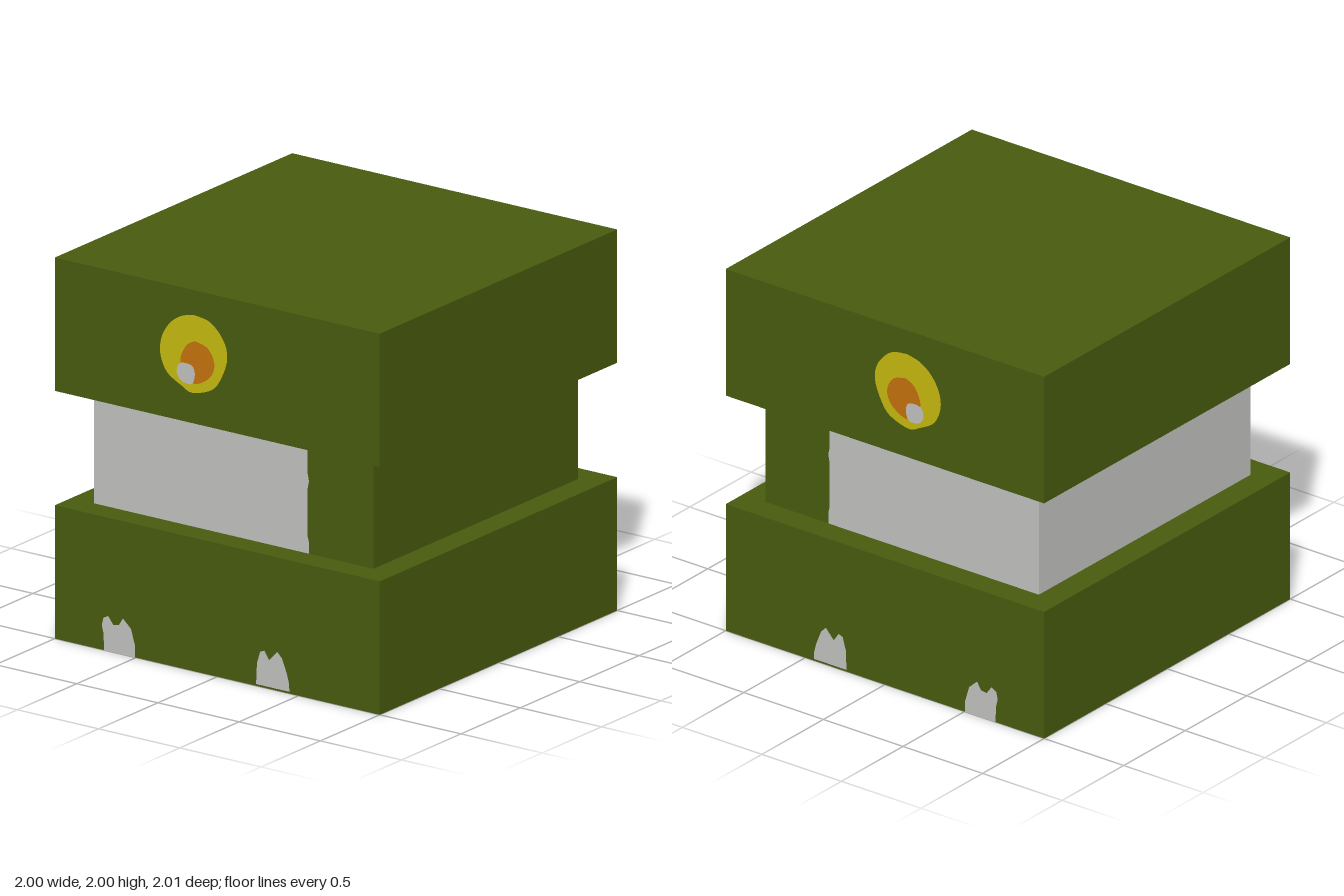
import * as THREE from 'three';

const material = (name, color, side = THREE.FrontSide) => {
  const m = new THREE.MeshStandardMaterial({ color, side });
  m.name = name;
  return m;
};

// Outlines on the x-y plane
const IRIS = [[-.14, 1.87], [-.04, 1.85], [.04, 1.77], [.062, 1.68], [.03, 1.58], [-.03, 1.5], [-.15, 1.46],
  [-.22, 1.485], [-.31, 1.54], [-.35, 1.63], [-.34, 1.72], [-.29, 1.8], [-.22, 1.85]];
const PUPIL = [[-.135, 1.735], [-.055, 1.71], [-.016, 1.635], [-.045, 1.56], [-.135, 1.51], [-.2, 1.55],
  [-.225, 1.62], [-.19, 1.7]];
const GLINT = [[-.19, 1.61], [-.15, 1.6], [-.135, 1.56], [-.15, 1.51], [-.19, 1.503], [-.23, 1.52],
  [-.247, 1.56], [-.23, 1.6]];
const RIGHT_TOOTH = [[-.695, 0], [-.7, .09], [-.71, .13], [-.7, .17], [-.67, .185], [-.64, .145], [-.605, .15],
  [-.58, .19], [-.53, .145], [-.505, .06], [-.505, 0]];
const LEFT_TOOTH = [[.24, .01], [.245, .12], [.265, .185], [.29, .195], [.32, .15], [.37, .205], [.4, .175],
  [.43, .1], [.443, .05], [.445, .01]];
const MOUTH_PANEL = [[-.86, .7], [.463, .7], [.463, .76], [.455, .79], [.455, 1.04], [.463, 1.08],
  [.455, 1.12], [.455, 1.3], [-.86, 1.3]];

export function createModel() {
  const green = material('mossGreen', 0x495d0e);
  const grey = material('paleGrey', 0xc5c5c3);
  const yellow = material('eyeYellow', 0xcabd10);
  const orange = material('pupilOrange', 0xc9740e);

  const model = new THREE.Group();
  model.name = 'blockCreature';

  const block = (name, width, y0, y1, mat) => {
    const mesh = new THREE.Mesh(new THREE.BoxGeometry(width, y1 - y0, width), mat);
    mesh.position.y = (y0 + y1) / 2;
    mesh.name = name;
    model.add(mesh);
  };

  // Three stacked blocks; the middle one is grey on its -x side
  block('lowerBlock', 2, 0, 0.7, green);
  block('middleBlock', 1.72, 0.7, 1.3, [green, grey, green, green, green, green]);
  block('upperBlock', 2, 1.3, 2, green);

  // Flat painted face, repeated at the same x on the front and back
  for (const [label, sign] of [['front', 1], ['back', -1]]) {
    const face = new THREE.Group();
    face.name = label + 'Face';
    if (sign < 0) face.rotation.y = Math.PI;

    const paint = (name, outline, z, mat, smooth) => {
      const points = outline.map(([x, y]) => new THREE.Vector2(x * sign, y));
      const shape = new THREE.Shape();
      if (smooth) {
        shape.moveTo(points[0].x, points[0].y);
        shape.splineThru([...points.slice(1), points[0]]);
      } else {
        shape.setFromPoints(points);
      }
      const mesh = new THREE.Mesh(new THREE.ShapeGeometry(shape, 40), mat);
      mesh.position.z = z;
      mesh.name = name;
      face.add(mesh);
    };

    paint('eye', IRIS, 1.0015, yellow, true);
    paint('pupil', PUPIL, 1.003, orange, true);
    paint('eyeGlint', GLINT, 1.0045, grey, true);
    paint('rightTooth', RIGHT_TOOTH, 1.0015, grey, false);
    paint('leftTooth', LEFT_TOOTH, 1.0015, grey, false);
    paint('mouthPanel', MOUTH_PANEL, 0.8615, grey, false);
    model.add(face);
  }
  return model;
}
